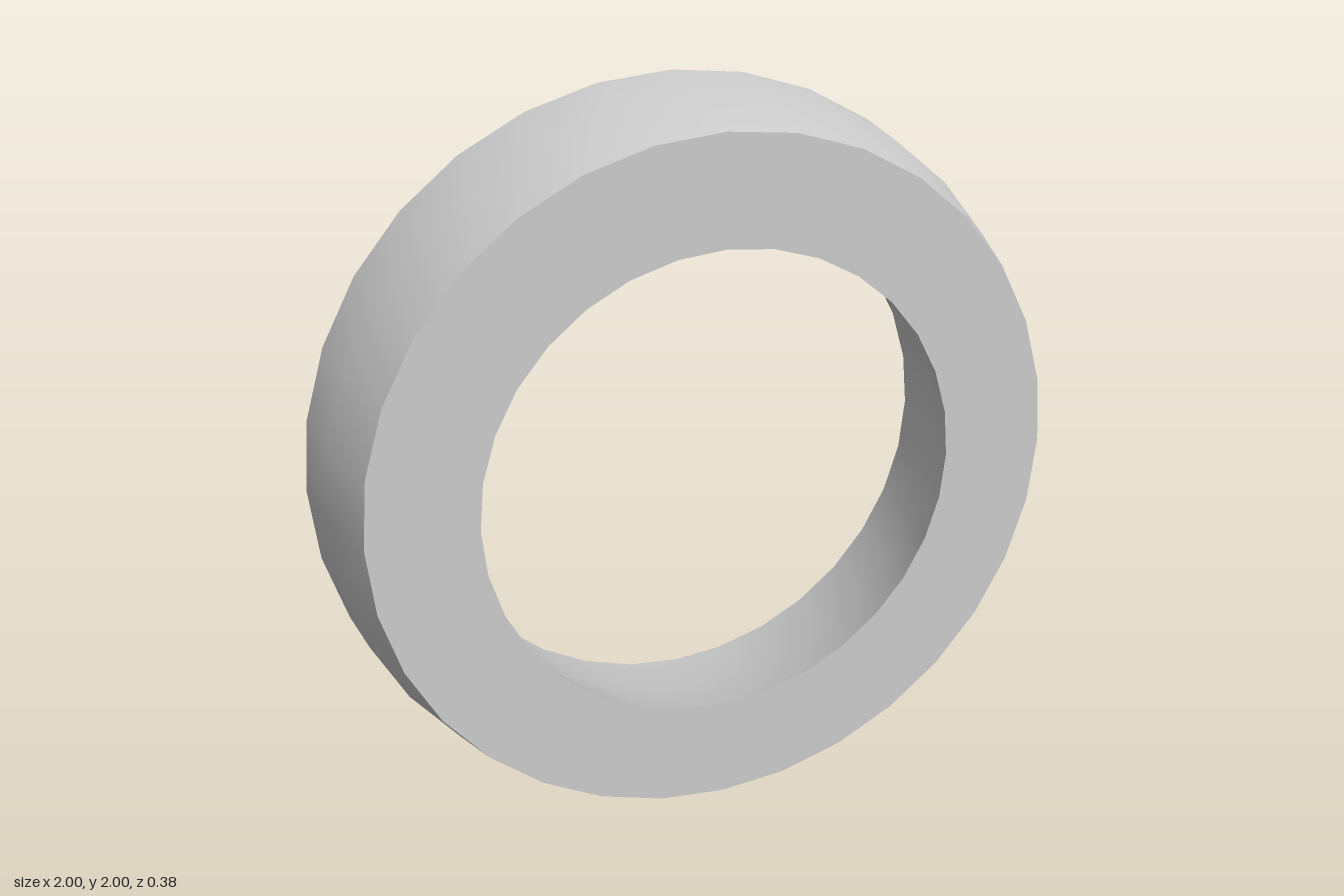
import * as THREE from 'three';

const SIDES = 32;
const material = new THREE.MeshStandardMaterial({ color: 0xcccccc });

// Revolve an open profile of [radius, z] pairs around the z axis
function revolve(name, profile) {
  const points = profile.map(([r, z]) => new THREE.Vector2(r, z));
  const geometry = new THREE.LatheGeometry(points, SIDES).rotateX(Math.PI / 2);
  const mesh = new THREE.Mesh(geometry, material);
  mesh.name = name;
  return mesh;
}

export function createModel() {
  const ring = new THREE.Group();
  ring.name = 'ring';

  // Rounded outer profile, back to front; the bore follows it at a constant wall thickness
  const wall = 0.284;
  const outer = [[1, -0.19], [0.98, 0], [0.924, 0.19]];
  const inner = outer.map(([r, z]) => [r - wall, z]).reverse();

  // Separate surfaces keep the rim edges sharp and the walls smooth
  ring.add(
    revolve('outerWall', outer),
    revolve('frontFace', [outer[2], inner[0]]),
    revolve('innerWall', inner),
    revolve('backFace', [inner[2], outer[0]])
  );

  ring.position.y = 1;
  const model = new THREE.Group();
  model.name = 'taperedRing';
  model.add(ring);
  return model;
}
